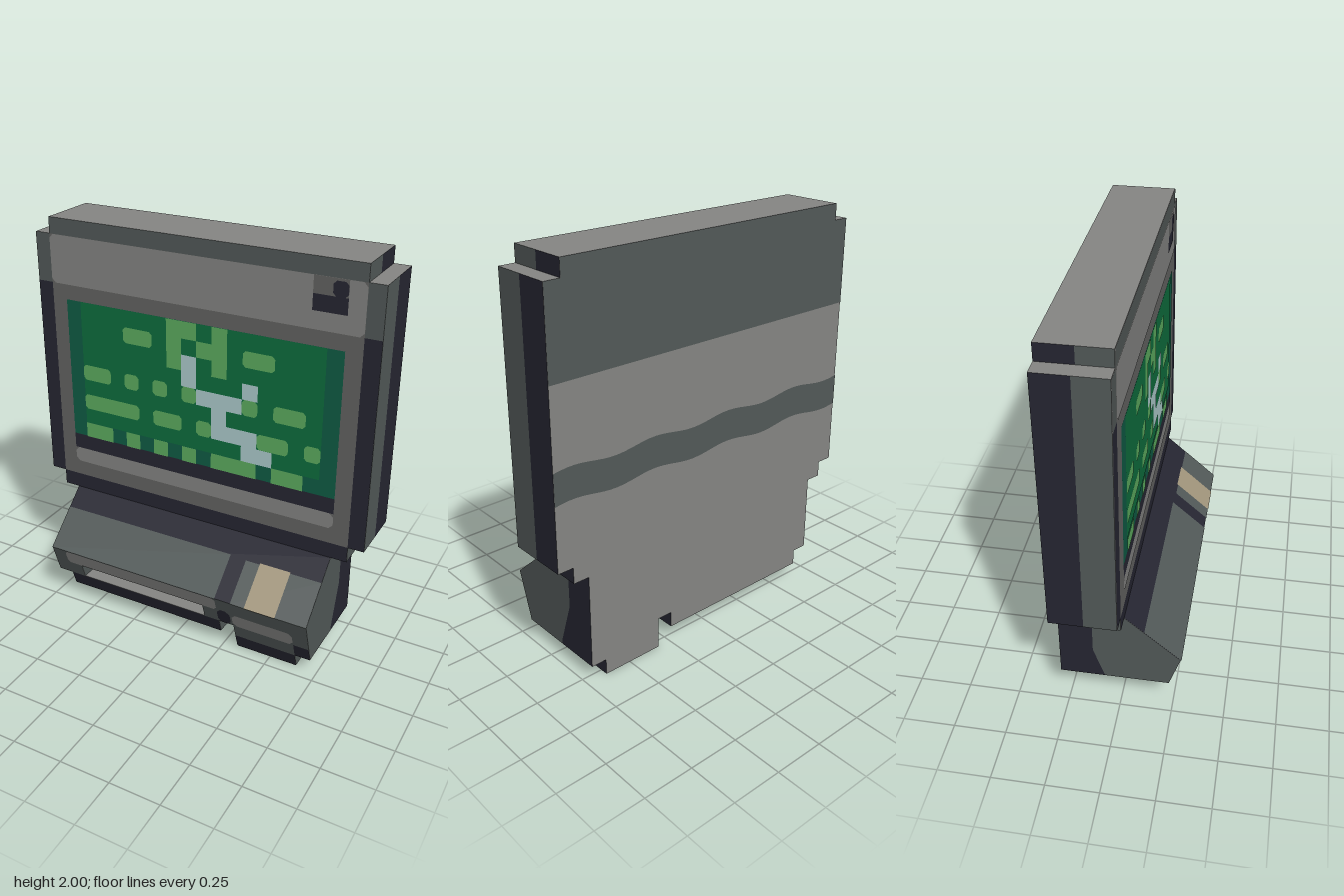
import * as THREE from 'three';

const material = (name, color) => {
  const m = new THREE.MeshStandardMaterial({ color });
  m.name = name;
  return m;
};

// Piecewise-linear value of z at height y
function along(points, y) {
  for (let i = 1; i < points.length; i++) {
    const [y0, z0] = points[i - 1], [y1, z1] = points[i];
    if (y <= y1) return z0 + (z1 - z0) * (y - y0) / (y1 - y0);
  }
  return points[points.length - 1][1];
}
const BACK = -0.29;
const FRONT = [[0, 0.18], [0.325, 0.285], [0.56, 0.02], [2, 0.02]];
const SPLIT = [[0, -0.06], [0.1, -0.055], [0.325, -0.13], [2, -0.13]];
const frontZ = y => along(FRONT, y), splitZ = y => along(SPLIT, y), backZ = () => BACK;

export function createModel() {
  const grey = material('light grey', 0x868684);
  const frame = material('frame grey', 0x646463);
  const slate = material('slate', 0x535a59);
  const navy = material('dark navy', 0x262632);
  const green = material('screen green', 0x0e6f3e);
  const edge = material('screen edge green', 0x0f5d45);
  const lime = material('light green', 0x5eae60);
  const pale = material('pale blue', 0xb0ced0);
  const beige = material('beige', 0xa2967c);

  const model = new THREE.Group();
  const add = (name, geometry, mat) => {
    const mesh = new THREE.Mesh(geometry, mat);
    mesh.name = name;
    model.add(mesh);
  };

  // Prism across x between two depth curves, with its own colour on the ends
  function prism(name, x0, x1, y0, y1, rear, front, side) {
    const ys = [y0, ...[0.1, 0.325, 0.56].filter(y => y > y0 && y < y1), y1];
    const outline = [
      ...ys.map(y => new THREE.Vector2(-front(y), y)),
      ...ys.slice().reverse().map(y => new THREE.Vector2(-rear(y), y)),
    ];
    const g = new THREE.ExtrudeGeometry(new THREE.Shape(outline), { depth: x1 - x0, bevelEnabled: false });
    g.rotateY(Math.PI / 2).translate(x0, 0, 0);
    add(name, g, [side, grey]);
  }
  function block(name, x0, x1, y0, y1, front = frontZ) {
    prism(name + 'Front', x0, x1, y0, y1, splitZ, front, slate);
    prism(name + 'Rear', x0, x1, y0, y1, backZ, splitZ, navy);
  }

  // Painted face with cut corners that follows the front surface
  function face(name, mat, x0, x1, y0, y1, layer = 1, cut = 0, surface = frontZ) {
    const c = cut;
    const pts = c
      ? [[x0 + c, y0], [x1 - c, y0], [x1, y0 + c], [x1, y1 - c], [x1 - c, y1], [x0 + c, y1], [x0, y1 - c], [x0, y0 + c]]
      : [[x0, y0], [x1, y0], [x1, y1], [x0, y1]];
    const g = new THREE.ShapeGeometry(new THREE.Shape(pts.map(p => new THREE.Vector2(...p))));
    const pos = g.attributes.position;
    for (let i = 0; i < pos.count; i++) pos.setZ(i, surface(pos.getY(i)) + layer * 0.002);
    g.computeVertexNormals();
    add(name, g, mat);
  }

  // Stepped cabinet
  block('cabinetTop', -0.8, 0.8, 1.92, 2);
  block('cabinet', -0.88, 0.88, 0.64, 1.92);
  block('cabinetBottom', -0.8, 0.8, 0.56, 0.64);

  // Sloped console with an open slot and two feet
  block('console', -0.72, 0.72, 0.24, 0.56);
  block('slotLeftWall', 0.16, 0.72, 0.16, 0.24);
  block('slotRightWall', -0.72, -0.56, 0.16, 0.24);
  block('slotBack', -0.56, 0.16, 0.16, 0.24, () => 0.08);
  block('wideFoot', -0.64, 0.24, 0.08, 0.16);
  block('narrowFoot', 0.32, 0.72, 0.08, 0.16);
  block('narrowFootTip', 0.32, 0.64, 0, 0.08);

  // Cabinet front
  face('topTrim', slate, -0.8, 0.8, 1.92, 2);
  for (const s of [-0.88, 0.8]) {
    face('upperSideTrim', slate, s, s + 0.08, 1.68, 1.92);
    face('lowerSideTrim', navy, s, s + 0.08, 0.64, 1.68);
  }
  face('screenFrame', frame, -0.8, 0.8, 0.64, 1.92);
  face('bottomTrim', navy, -0.8, 0.8, 0.56, 0.64);
  face('headerPanel', grey, -0.8, 0.8, 1.68, 1.92, 2, 0.02);
  face('headerRecess', frame, 0.56, 0.72, 1.84, 1.92, 3);
  face('headerNotch', navy, 0.56, 0.72, 1.765, 1.84, 3);
  face('headerNotchTop', navy, 0.65, 0.72, 1.84, 1.91, 4, 0.015);
  face('screenSill', navy, -0.72, 0.72, 0.8, 0.88, 2);
  face('lowerBar', grey, -0.72, 0.72, 0.72, 0.8, 2, 0.02);

  // Screen
  face('screenEdge', edge, -0.72, 0.72, 0.88, 1.605, 2);
  face('screen', green, -0.64, 0.64, 0.96, 1.605, 3);

  // Screen pattern rows: bottom height and spans in x
  const rows = [
    [1.44, [[-0.4, -0.24], [0.24, 0.4]]],
    [1.2, [[-0.64, -0.48], [-0.4, -0.32], [-0.24, -0.16], [-0.08, 0], [0.24, 0.32], [0.4, 0.56]]],
    [1.04, [[-0.64, -0.32], [-0.24, -0.08], [0, 0.08], [0.32, 0.48], [0.56, 0.64]]],
    [0.88, [[-0.64, -0.48], [-0.4, -0.32], [-0.24, -0.16], [-0.08, 0], [0.08, 0.32], [0.4, 0.56]]],
  ];
  for (const [y, spans] of rows)
    for (const [x0, x1] of spans) face('screenDash', lime, x0, x1, y, y + 0.08, 4, y === 0.88 ? 0 : 0.014);
  for (const r of [[-0.16, -0.08, 1.36, 1.605], [-0.08, 0, 1.52, 1.605], [0, 0.08, 1.44, 1.52], [0.08, 0.16, 1.36, 1.605]])
    face('screenBlob', lime, ...r, 4);
  const path = [
    [-0.08, 0, 1.28, 1.44], [0, 0.24, 1.2, 1.28], [0.24, 0.32, 1.28, 1.36],
    [0.08, 0.16, 1.12, 1.2], [0.08, 0.32, 1.04, 1.12], [0.24, 0.4, 0.96, 1.04],
  ];
  for (const r of path) face('screenPath', pale, ...r, 4.4);

  // Console slope
  face('slopeTop', navy, -0.72, 0.72, 0.325, 0.56);
  face('slopePanel', slate, -0.72, 0.24, 0.325, 0.48, 2);
  face('buttonPanel', slate, 0.325, 0.72, 0.325, 0.475, 2);
  face('button', beige, 0.4, 0.56, 0.325, 0.48, 3);

  // Console face below the ridge
  face('lowerFace', slate, -0.72, 0.72, 0.24, 0.325);
  face('slotLip', grey, -0.64, 0.24, 0.243, 0.322, 2, 0.015);
  face('slotEndRight', slate, -0.72, -0.56, 0.16, 0.24);
  face('slotEndLeft', slate, 0.16, 0.72, 0.16, 0.24);
  face('slotInside', navy, -0.56, 0.16, 0.16, 0.24, 1, 0, () => 0.08);
  face('gapShade', navy, 0.24, 0.31, 0.16, 0.25, 2, 0.02);
  face('narrowBar', grey, 0.32, 0.64, 0.16, 0.24, 2, 0.02);
  face('wideFootFace', navy, -0.64, 0.24, 0.08, 0.16);
  face('narrowFootFace', slate, 0.32, 0.64, 0.08, 0.16);
  face('narrowFootSide', navy, 0.64, 0.72, 0.08, 0.16);
  face('narrowFootTipFace', navy, 0.32, 0.64, 0, 0.08);

  // Back bands, the lower one wavy
  const backShape = (name, pts) => {
    const g = new THREE.ShapeGeometry(new THREE.Shape(pts.map(p => new THREE.Vector2(...p))));
    g.rotateY(Math.PI).translate(0, 0, BACK - 0.002);
    add(name, g, slate);
  };
  backShape('backTopBand', [[-0.88, 1.5], [0.88, 1.5], [0.88, 1.92], [0.8, 1.92], [0.8, 2], [-0.8, 2], [-0.8, 1.92], [-0.88, 1.92]]);
  const wave = [];
  for (let i = 0; i <= 48; i++) {
    const x = -0.88 + i * 1.76 / 48;
    wave.push([x, 0.012 * Math.sin(x * 14)]);
  }
  backShape('backWavyBand', [
    ...wave.map(([x, w]) => [x, 0.96 + w]),
    ...wave.slice().reverse().map(([x, w]) => [x, 1.115 + w]),
  ]);

  return model;
}
